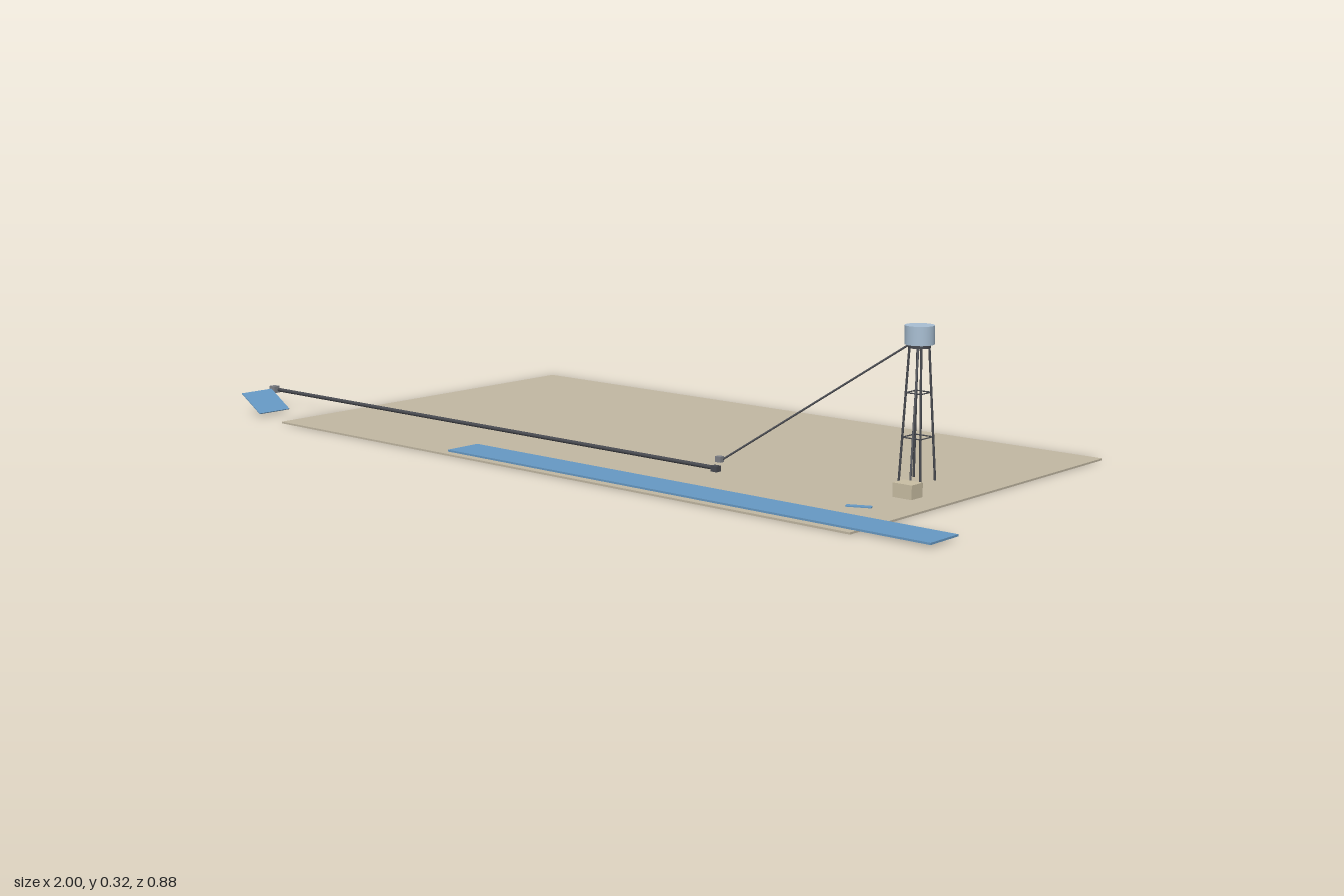
import * as THREE from 'three';

const mat = (name, color, side = THREE.FrontSide) => {
  const m = new THREE.MeshStandardMaterial({ color, side });
  m.name = name;
  return m;
};

export function createModel() {
  const group = new THREE.Group();
  group.name = 'waterSupplySite';
  const sand = mat('sand', 0xc2b8a3);
  const water = mat('waterBlue', 0x6699c4, THREE.DoubleSide);
  const tankMetal = mat('tankMetal', 0xa9bfd3);
  const steel = mat('darkSteel', 0x484a50);
  const grey = mat('fittingGrey', 0x808288);
  const tan = mat('hutTan', 0xcabfa4);

  const add = (name, geometry, material, x = 0, y = 0, z = 0, parent = group) => {
    const mesh = new THREE.Mesh(geometry, material);
    mesh.name = name;
    mesh.position.set(x, y, z);
    parent.add(mesh);
    return mesh;
  };
  const box = (name, w, h, d, material, x, y, z, parent) =>
    add(name, new THREE.BoxGeometry(w, h, d), material, x, y, z, parent);

  // Straight round bar between two points
  const bar = (name, a, b, radius, material, parent = group) => {
    const from = new THREE.Vector3(...a), to = new THREE.Vector3(...b);
    const dir = to.clone().sub(from);
    const mesh = add(name, new THREE.CylinderGeometry(radius, radius, dir.length(), 8), material, 0, 0, 0, parent);
    mesh.position.copy(from).add(to).multiplyScalar(0.5);
    mesh.quaternion.setFromUnitVectors(new THREE.Vector3(0, 1, 0), dir.normalize());
    return mesh;
  };

  // Ground slab and water surfaces
  box('ground', 1.62, 0.004, 0.882, sand, 0.025, 0.002, 0);
  box('river', 1.24, 0.004, 0.086, water, 0.379, 0.007, 0.383);
  const pool = box('tiltedWaterPanel', 0.077, 0.002, 0.086, water, -0.918, 0.028, 0.383);
  pool.rotation.z = -Math.atan2(0.04, 0.065);
  const pond = box('pond', 0.05, 0.002, 0.014, water, 0.737, 0.01, 0.282);
  pond.rotation.y = 0.42;

  // Water tower
  const tower = new THREE.Group();
  tower.name = 'waterTower';
  tower.position.x = 0.672;
  group.add(tower);
  add('tank', new THREE.CylinderGeometry(0.03, 0.03, 0.038, 24), tankMetal, 0, 0.299, 0, tower);
  add('tankPlatform', new THREE.CylinderGeometry(0.023, 0.023, 0.006, 16), steel, 0, 0.276, 0, tower);

  // Tapered legs with two levels of bracing
  const spread = y => 0.026 - 0.012 * y / 0.275;
  const corners = [[1, 1], [1, -1], [-1, -1], [-1, 1]];
  corners.forEach(([sx, sz], i) => {
    const at = (y, [cx, cz] = [sx, sz]) => [cx * spread(y), y, cz * spread(y)];
    bar('towerLeg', at(0.004), at(0.275), 0.0024, steel, tower);
    for (const y of [0.093, 0.183])
      bar('towerBrace', at(y), at(y, corners[(i + 1) % 4]), 0.0013, steel, tower);
  });

  // Pipeline: intake, long main, riser to the tank, feed to the hut
  bar('mainPipe', [-0.99, 0.037, 0.294], [0.32, 0.013, 0.206], 0.0045, steel);
  bar('riserPipe', [0.325, 0.026, 0.202], [0.66, 0.28, 0.018], 0.0022, steel);
  bar('feedPipe', [0.68, 0.277, 0.015], [0.785, 0.042, 0.185], 0.0022, steel);
  box('intakeBox', 0.018, 0.016, 0.016, grey, -0.991, 0.038, 0.299);
  box('pumpBase', 0.016, 0.012, 0.014, steel, 0.32, 0.012, 0.206);
  box('pumpHead', 0.014, 0.012, 0.012, grey, 0.327, 0.032, 0.202);

  // Service hut
  box('hut', 0.044, 0.028, 0.036, tan, 0.79, 0.036, 0.2);
  box('hutValve', 0.008, 0.006, 0.008, grey, 0.782, 0.023, 0.178);
  return group;
}
